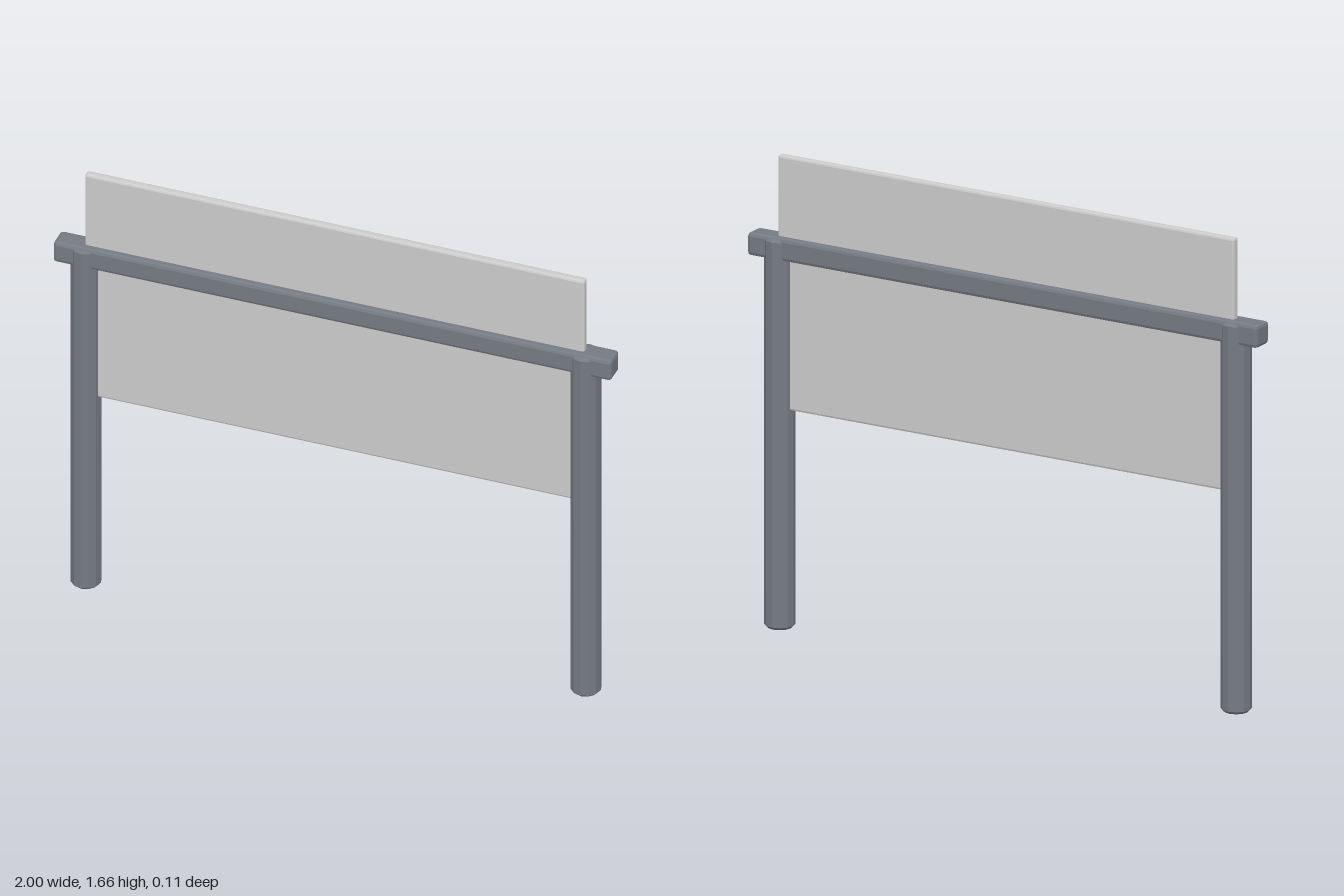
import * as THREE from 'three';
import { RoundedBoxGeometry } from 'three/addons/geometries/RoundedBoxGeometry.js';

export function createModel() {
  const group = new THREE.Group();
  const steel = new THREE.MeshStandardMaterial({ color: 0x757b83, flatShading: true });
  const grey = new THREE.MeshStandardMaterial({ color: 0xcccccc, flatShading: true });

  const add = (name, geometry, material, x, y) => {
    const mesh = new THREE.Mesh(geometry, material);
    mesh.name = name;
    mesh.position.set(x, y, 0);
    group.add(mesh);
  };

  // Twelve-sided posts with chamfered ends
  const r = 0.053, h = 1.37, c = 0.01;
  const profile = [[0, 0], [r - c, 0], [r, c], [r, h - c], [r - c, h], [0, h]]
    .map(([x, y]) => new THREE.Vector2(x, y));
  const post = new THREE.LatheGeometry(profile, 12);
  add('leftPost', post, steel, 0.895, 0);
  add('rightPost', post, steel, -0.895, 0);

  // Crossbar through the post tops, with chamfered edges
  add('crossbar', new RoundedBoxGeometry(2, 0.08, 0.08, 1, 0.012), steel, 0, 1.335);

  // Thin board held between the posts and rising above the crossbar
  add('board', new RoundedBoxGeometry(1.79, 0.89, 0.03, 1, 0.008), grey, 0, 1.213);

  return group;
}
